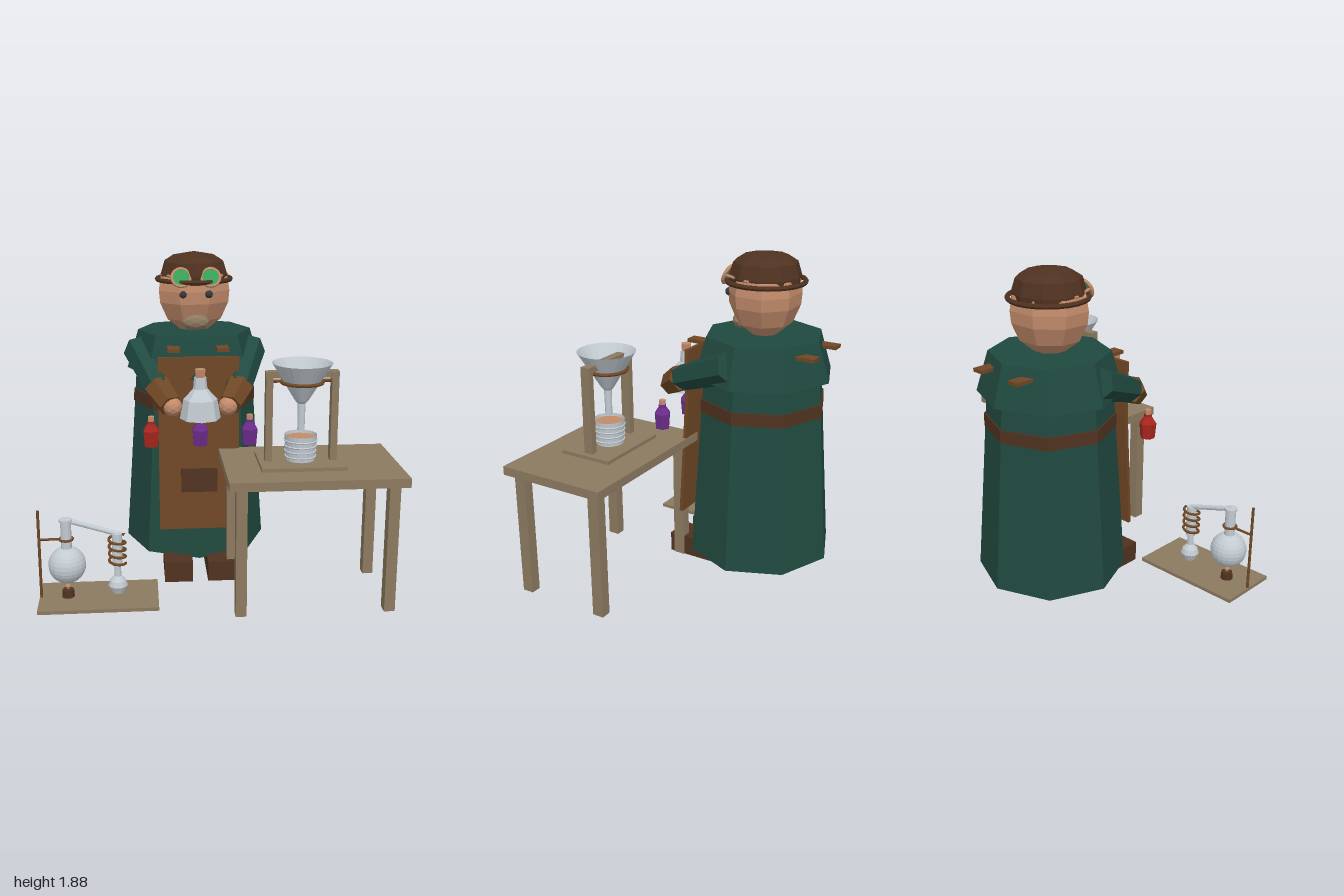
import * as THREE from 'three';

const mat = (name, color, extra = {}) => new THREE.MeshStandardMaterial({ name, color, ...extra });

export function createModel() {
  const M = {
    robe: mat('green robe', 0x20493f),
    leather: mat('leather', 0x6f4725),
    dark: mat('dark leather', 0x4f3220),
    skin: mat('skin and copper', 0xc28b6b),
    wood: mat('pale wood', 0x8c7a60),
    glass: mat('glass', 0xc2cbd1, { side: THREE.DoubleSide }),
    red: mat('red potion', 0xa9261e),
    purple: mat('purple potion', 0x6c2c8c),
    green: mat('green liquid', 0x38a65a),
    black: mat('charcoal', 0x37373d),
  };
  const model = new THREE.Group();
  model.name = 'alchemist';

  // ---- helpers: every part is faceted
  const group = (name, x = 0, y = 0, z = 0, parent = model) => {
    const g = new THREE.Group();
    g.name = name;
    g.position.set(x, y, z);
    parent.add(g);
    return g;
  };
  const add = (parent, name, geo, material, x = 0, y = 0, z = 0) => {
    const flat = geo.index ? geo.toNonIndexed() : geo;
    flat.computeVertexNormals();
    const mesh = new THREE.Mesh(flat, material);
    mesh.name = name;
    mesh.position.set(x, y, z);
    parent.add(mesh);
    return mesh;
  };
  const box = (w, h, d) => new THREE.BoxGeometry(w, h, d);
  const cyl = (top, bottom, h, n) => new THREE.CylinderGeometry(top, bottom, h, n);
  const lathe = (pts, n) => new THREE.LatheGeometry(pts.map(p => new THREE.Vector2(...p)), n);
  const ring = (r, t, n = 24) => new THREE.TorusGeometry(r, t, 6, n).rotateX(Math.PI / 2);
  // tapered rod from a to b
  const rod = (parent, name, material, a, b, ra, rb, n) => {
    const A = new THREE.Vector3(...a), B = new THREE.Vector3(...b);
    const mesh = add(parent, name, cyl(rb, ra, A.distanceTo(B), n), material);
    mesh.position.copy(A).lerp(B, 0.5);
    mesh.quaternion.setFromUnitVectors(new THREE.Vector3(0, 1, 0), B.sub(A).normalize());
    return mesh;
  };

  // ---- clothed body
  const body = group('body', -0.08, 0, -0.3);
  add(body, 'robe', cyl(0.335, 0.425, 1.3, 8), M.robe, 0, 0.76, 0);
  add(body, 'cape', cyl(0.337, 0.405, 0.23, 8), M.robe, 0, 1.305, 0);
  add(body, 'belt', cyl(0.368, 0.37, 0.075, 8), M.dark, 0, 1.02, 0);
  add(body, 'bib', box(0.465, 0.33, 0.02), M.leather, 0, 1.155, 0.375);
  const apron = group('apron', 0, 0.65, 0.398, body);
  apron.rotation.x = -0.065;
  add(apron, 'apronSkirt', box(0.465, 0.7, 0.02), M.leather);
  add(apron, 'pocket', box(0.21, 0.14, 0.009), M.dark, 0, -0.055, 0.014);

  for (const s of [-1, 1]) {
    add(body, 'strap', box(0.07, 0.02, 0.79), M.leather, s * 0.14, 1.36, 0.005);
    add(body, 'leg', cyl(0.085, 0.085, 0.4, 6), M.black, s * 0.127, 0.255, 0.005);
    add(body, 'shoe', box(0.165, 0.12, 0.365), M.dark, s * 0.127, 0.06, 0.328);
    // sleeve, cuff and hand
    rod(body, 'sleeve', M.robe, [s * 0.335, 1.305, 0.03], [s * 0.225, 1.145, 0.42], 0.095, 0.075, 6);
    rod(body, 'cuff', M.leather, [s * 0.235, 1.155, 0.4], [s * 0.165, 1.075, 0.525], 0.082, 0.068, 6);
    add(body, 'hand', new THREE.IcosahedronGeometry(0.055, 1), M.skin, s * 0.155, 1.07, 0.53);
  }

  // ---- head
  const head = group('head', -0.08, 0, -0.3);
  const skull = add(head, 'skull', lathe([[0, 1.41], [0.09, 1.425], [0.175, 1.49],
    [0.222, 1.59], [0.229, 1.66], [0.215, 1.74], [0, 1.78]], 8), M.skin);
  skull.rotation.y = Math.PI / 8;
  skull.scale.z = 0.9;
  add(head, 'cap', lathe([[0.2, 1.7], [0.203, 1.75], [0.18, 1.825], [0.125, 1.86], [0, 1.882]], 10), M.dark);
  add(head, 'capBrim', ring(0.219, 0.014), M.dark, 0, 1.72, -0.005);
  const beard = add(head, 'beard', new THREE.IcosahedronGeometry(1, 1), M.wood, 0, 1.483, 0.135);
  beard.scale.set(0.085, 0.053, 0.052);
  for (const s of [-1, 1]) {
    add(head, 'eye', new THREE.IcosahedronGeometry(0.024, 1), M.black, s * 0.075, 1.65, 0.185);
    // goggles
    const goggle = group('goggle', s * 0.085, 1.747, 0.185, head);
    goggle.rotation.x = -0.4;
    add(goggle, 'goggleRim', new THREE.TorusGeometry(0.053, 0.01, 6, 16), M.skin);
    add(goggle, 'lens', cyl(0.05, 0.05, 0.014, 16).rotateX(Math.PI / 2), M.green);
    rod(head, 'goggleStrap', M.skin, [s * 0.13, 1.75, 0.17], [s * 0.197, 1.745, 0], 0.009, 0.009, 6);
  }
  rod(head, 'goggleBridge', M.skin, [-0.035, 1.747, 0.185], [0.035, 1.747, 0.185], 0.008, 0.008, 6);

  // ---- flask held in both hands
  const held = group('heldFlask', -0.08, 0, 0.22);
  add(held, 'flaskBody', lathe([[0, 1], [0.115, 1], [0.095, 1.11], [0.04, 1.17], [0.034, 1.235], [0, 1.235]], 8), M.glass);
  add(held, 'flaskCork', cyl(0.032, 0.029, 0.06, 6), M.skin, 0, 1.25, 0);

  // ---- small potion bottles
  for (const [x, m] of [[-0.357, M.red], [-0.08, M.purple], [0.2, M.purple]]) {
    const potion = group('potion', x, 0.84, 0.21);
    add(potion, 'bottle', lathe([[0, 0], [0.042, 0], [0.05, 0.09], [0.023, 0.13], [0.023, 0.145], [0, 0.145]], 6), m);
    add(potion, 'cork', cyl(0.02, 0.02, 0.03, 6), M.skin, 0, 0.157, 0);
  }

  // ---- table
  const table = group('table', 0.517, 0, 0.398);
  add(table, 'tableTop', box(0.965, 0.05, 0.645), M.wood, 0, 0.755, 0);
  for (const sx of [-1, 1]) for (const sz of [-1, 1])
    add(table, 'tableLeg', box(0.06, 0.73, 0.067), M.wood, sx * 0.41, 0.365, sz * 0.25);

  // ---- funnel stand
  const stand = group('funnelStand', 0.46, 0, 0.4);
  add(stand, 'standBase', box(0.465, 0.02, 0.32), M.wood, 0, 0.79, 0);
  for (const s of [-1, 1]) {
    add(stand, 'post', box(0.038, 0.5, 0.055), M.wood, s * 0.18, 1.05, 0);
    rod(stand, 'ringArm', M.leather, [s * 0.11, 1.245, 0], [s * 0.18, 1.245, 0], 0.009, 0.009, 6);
  }
  add(stand, 'crossbar', box(0.4, 0.035, 0.05), M.wood, 0, 1.283, 0);
  add(stand, 'holderRing', ring(0.113, 0.01), M.leather, 0, 1.24, 0);
  add(stand, 'funnel', lathe([[0.02, 0.97], [0.022, 1.12], [0.036, 1.135], [0.165, 1.345]], 24), M.glass);
  add(stand, 'funnelLiquid', cyl(0.11, 0.105, 0.008, 24), M.green, 0, 1.257, 0);

  // ---- ribbed beaker
  add(stand, 'beaker', lathe([[0, 0.802], [0.08, 0.802], [0.09, 0.945]], 20), M.glass);
  add(stand, 'beakerLiquid', cyl(0.086, 0.086, 0.006, 20), M.skin, 0, 0.925, 0);
  for (let i = 0; i < 4; i++)
    add(stand, 'beakerRib', ring(0.083 + i * 0.002, 0.005, 20), M.glass, 0, 0.825 + i * 0.03, 0);

  // ---- distillery on a floor board
  const still = group('distillery', 0, 0, 0.4);
  add(still, 'board', box(0.665, 0.02, 0.365), M.wood, -0.667, 0.015, 0);
  add(still, 'supportRod', cyl(0.008, 0.008, 0.53, 8), M.leather, -0.99, 0.275, 0);
  rod(still, 'clampRod', M.leather, [-0.99, 0.37, 0], [-0.84, 0.37, 0], 0.007, 0.007, 6);
  add(still, 'clampRing', ring(0.037, 0.007, 16), M.leather, -0.84, 0.37, 0);
  add(still, 'boilingFlask', new THREE.SphereGeometry(0.105, 20, 14), M.glass, -0.84, 0.218, 0);
  add(still, 'flaskNeck', cyl(0.03, 0.03, 0.18, 14), M.glass, -0.84, 0.39, 0);
  add(still, 'neckLip', cyl(0.037, 0.037, 0.012, 14), M.glass, -0.84, 0.481, 0);
  add(still, 'burner', cyl(0.033, 0.036, 0.042, 10), M.dark, -0.84, 0.046, 0);
  add(still, 'flame', lathe([[0, 0.065], [0.008, 0.07], [0.017, 0.088], [0, 0.118]], 8), M.skin, -0.84);
  rod(still, 'transferTube', M.glass, [-0.84, 0.482, 0], [-0.56, 0.393, 0], 0.014, 0.014, 10);
  add(still, 'condenser', cyl(0.029, 0.029, 0.19, 14), M.glass, -0.56, 0.3, 0);
  add(still, 'receiver', lathe([[0, 0.03], [0.035, 0.042], [0.055, 0.085], [0.045, 0.115],
    [0.02, 0.142], [0.018, 0.21]], 14), M.glass, -0.56);

  // cooling coil
  const coil = [];
  for (let i = 0; i <= 48; i++) {
    const a = i / 48 * Math.PI * 8;
    coil.push(new THREE.Vector3(Math.cos(a) * 0.046, 0.215 + i / 48 * 0.165, Math.sin(a) * 0.046));
  }
  add(still, 'coil', new THREE.TubeGeometry(new THREE.CatmullRomCurve3(coil), 96, 0.008, 6), M.leather, -0.56);

  return model;
}
